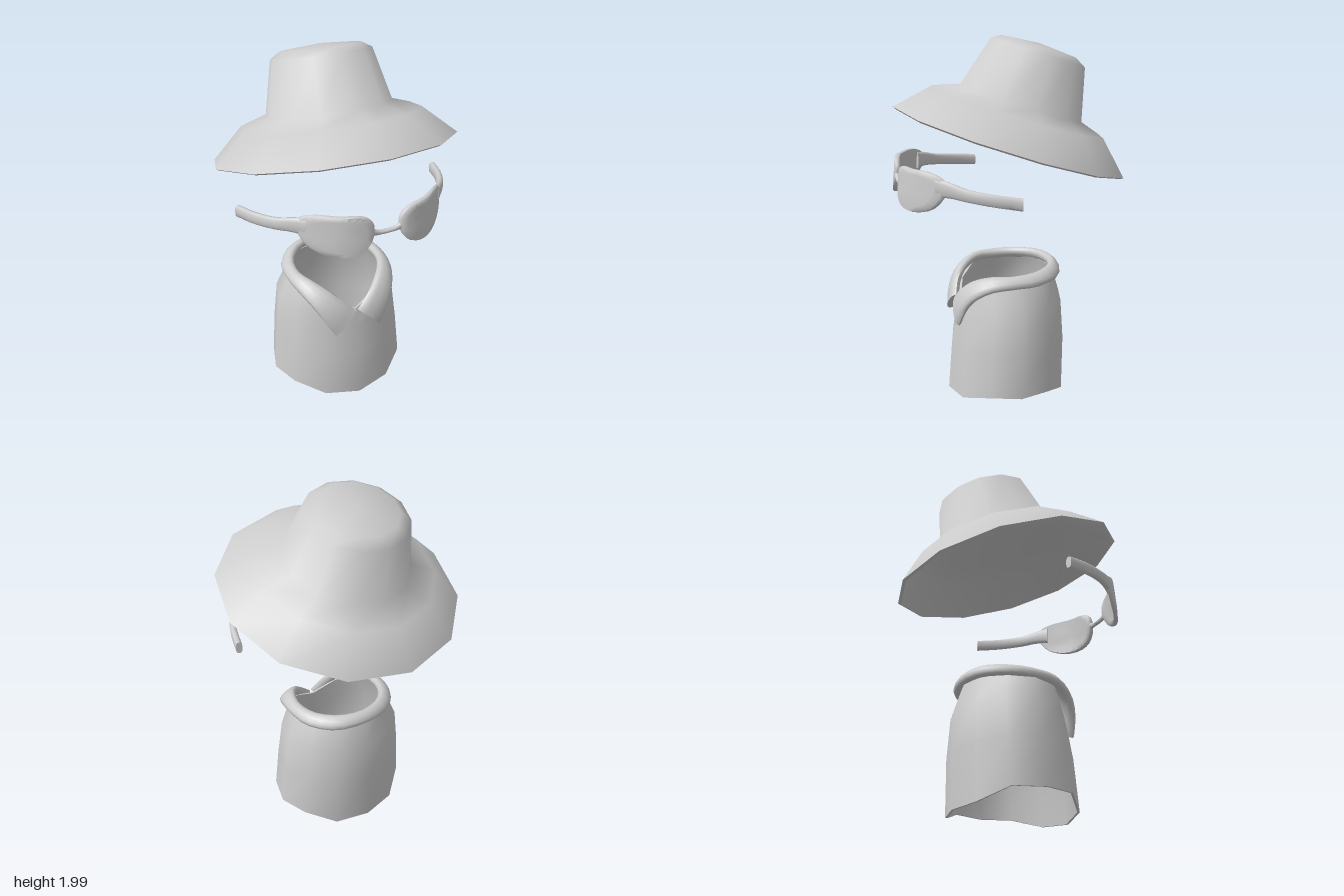
import * as THREE from 'three';
import { toCreasedNormals } from 'three/addons/utils/BufferGeometryUtils.js';

const V = (x, y, z) => new THREE.Vector3(x, y, z);
const material = new THREE.MeshStandardMaterial({ color: 0xcccccc, side: THREE.DoubleSide });

// Skin a list of equal-length rings; every ring runs counter-clockwise seen from the next one
function loft(name, rings, closed = false) {
  const pos = [];
  const n = rings[0].length;
  const tri = (a, b, c) => {
    const area = b.clone().sub(a).cross(c.clone().sub(a)).length();
    if (area > 1e-8) for (const p of [a, b, c]) pos.push(p.x, p.y, p.z);
  };
  const last = closed ? rings.length : rings.length - 1;
  for (let i = 0; i < last; i++) {
    const r = rings[i], s = rings[(i + 1) % rings.length];
    for (let j = 0; j < n; j++) {
      const k = (j + 1) % n;
      tri(r[j], r[k], s[k]);
      tri(r[j], s[k], s[j]);
    }
  }
  const geometry = new THREE.BufferGeometry();
  geometry.setAttribute('position', new THREE.Float32BufferAttribute(pos, 3));
  const mesh = new THREE.Mesh(toCreasedNormals(geometry, 1.1), material);
  mesh.name = name;
  return mesh;
}

const mirror = rings => rings.map(r => r.map(p => V(-p.x, p.y, p.z)).reverse());

// Horizontal oval ring whose height is a function of angle (0 = front) and z
function oval(rx, rz, cz, height, sides = 12) {
  return Array.from({ length: sides }, (_, j) => {
    const t = (j / sides) * Math.PI * 2;
    const z = cz + rz * Math.cos(t);
    return V(rx * Math.sin(t), height(t, z), z);
  });
}

// Capped sweep of a rounded section spanning an upper and a lower rail
function sweep(upper, lower, half, steps, power, sides = 12) {
  const A = new THREE.CatmullRomCurve3(upper), B = new THREE.CatmullRomCurve3(lower);
  const mid = t => A.getPoint(t).add(B.getPoint(t)).multiplyScalar(0.5);
  const round = x => Math.sign(x) * Math.abs(x) ** power;
  const rings = [];
  for (let i = 0; i <= steps; i++) {
    const t = i / steps;
    const m = mid(t);
    const v = A.getPoint(t).sub(m);
    const d = mid(Math.min(1, t + 0.01)).sub(mid(Math.max(0, t - 0.01)));
    const u = v.clone().cross(d).normalize().multiplyScalar(half);
    rings.push(Array.from({ length: sides }, (_, j) => {
      const a = (j / sides) * Math.PI * 2;
      return m.clone().addScaledVector(u, round(Math.cos(a))).addScaledVector(v, round(Math.sin(a)));
    }));
  }
  const cap = t => Array.from({ length: sides }, () => mid(t));
  return [cap(0), ...rings, cap(1)];
}

// Tilted bucket hat, twelve sides, with a shallow lining under the brim
function makeHat() {
  // rx, rz, centre z, centre y, slope
  const profile = [
    [0, 0, -0.065, 1.615, 0],
    [0.325, 0.325, -0.065, 1.612, 0.32],
    [0.46, 0.455, -0.045, 1.565, 0.31],
    [0.635, 0.607, 0, 1.43, 0.322],
    [0.655, 0.625, 0, 1.44, 0.322],
    [0.48, 0.475, -0.045, 1.593, 0.31],
    [0.335, 0.335, -0.065, 1.638, 0.32],
    [0.27, 0.257, -0.157, 1.903, 0.32],
    [0.215, 0.203, -0.162, 1.937, 0.31],
    [0, 0, -0.165, 1.955, 0],
  ];
  return loft('hat', profile.map(([rx, rz, cz, cy, slope]) =>
    oval(rx, rz, cz, (t, z) => cy + slope * (z - cz))));
}

// Wraparound glasses
function makeGlasses() {
  const group = new THREE.Group();
  group.name = 'glasses';

  // Lens outline, counter-clockwise from the front
  const outline = new THREE.CatmullRomCurve3([
    [0.19, 1.142], [0.28, 1.14], [0.36, 1.175], [0.4, 1.25], [0.393, 1.32], [0.335, 1.353],
    [0.23, 1.356], [0.13, 1.352], [0.075, 1.31], [0.073, 1.24], [0.115, 1.175],
  ].map(([x, y]) => V(x, y, 0)), true).getPoints(28).slice(0, -1);
  const lensRing = (scale, depth) => outline.map(p => {
    const x = 0.235 + (p.x - 0.235) * scale;
    const y = 1.25 + (p.y - 1.25) * scale;
    return V(x, y, 0.628 - 2 * (x - 0.1) ** 2 - 0.1 * Math.max(0, y - 1.2) - depth);
  });
  const lens = [
    ...[0, 0.4, 0.75, 0.97].map(s => lensRing(s, 0.028)),
    lensRing(1, 0.02), lensRing(1, 0.008),
    ...[0.97, 0.75, 0.4, 0].map(s => lensRing(s, 0)),
  ];

  // Temple arm running back and outward
  const arm = sweep(
    [V(0.36, 1.33, 0.462), V(0.41, 1.315, 0.405), V(0.47, 1.29, 0.33), V(0.535, 1.272, 0.21), V(0.578, 1.255, 0.075)],
    [V(0.36, 1.23, 0.462), V(0.41, 1.235, 0.405), V(0.47, 1.225, 0.33), V(0.535, 1.208, 0.21), V(0.578, 1.19, 0.075)],
    0.018, 10, 0.7);

  group.add(
    loft('leftLens', lens), loft('rightLens', mirror(lens)),
    loft('leftArm', arm), loft('rightArm', mirror(arm)),
    loft('bridge', sweep(
      [V(-0.1, 1.3, 0.607), V(-0.05, 1.262, 0.607), V(0.05, 1.262, 0.607), V(0.1, 1.3, 0.607)],
      [V(-0.1, 1.24, 0.607), V(-0.05, 1.236, 0.607), V(0.05, 1.236, 0.607), V(0.1, 1.24, 0.607)],
      0.013, 10, 0.8)));
  return group;
}

// Open tube of a shirt with a hem dipping front and back and a scooped neckline
function makeShirt() {
  const dip = t => Math.max(0, Math.cos(t)) ** 4;
  const hem = t => {
    const k = Math.max(0, Math.abs(Math.cos(t)) * 2 - 1);
    return 0.081 - (Math.cos(t) > 0 ? 0.073 * k : 0.063 * Math.min(1, k * 1.3));
  };
  const outer = [
    [0.393, 0.331, 0.028, hem],
    [0.373, 0.323, 0.014, t => 0.33 - 0.05 * dip(t)],
    [0.348, 0.3, 0.006, t => 0.55 - 0.11 * dip(t)],
    [0.28, 0.27, 0.02, t => 0.7 - 0.14 * dip(t)],
  ];
  const rings = inset => outer.map(([rx, rz, cz, h]) => oval(rx - inset, rz - inset, cz, h));
  return loft('shirtBody', [...rings(0), ...rings(0.012).reverse()], true);
}

// Rolled collar with two pointed flaps, from the left tip round the back to the right tip
function makeCollar() {
  const upper = [V(0.005, 0.565, 0.307), V(0.07, 0.627, 0.285), V(0.14, 0.69, 0.235), V(0.205, 0.727, 0.155),
    V(0.238, 0.73, 0.05), V(0.218, 0.738, -0.08), V(0.135, 0.75, -0.185), V(0, 0.752, -0.227)];
  const lower = [V(0.138, 0.438, 0.322), V(0.19, 0.525, 0.305), V(0.24, 0.61, 0.262), V(0.283, 0.668, 0.17),
    V(0.3, 0.685, 0.05), V(0.282, 0.685, -0.1), V(0.175, 0.69, -0.232), V(0, 0.695, -0.273)];
  const both = rail => [...rail, ...rail.slice(0, -1).reverse().map(p => V(-p.x, p.y, p.z))];
  return loft('collar', sweep(both(upper), both(lower), 0.027, 36, 0.9));
}

export function createModel() {
  const model = new THREE.Group();
  model.name = 'outfit';
  const shirt = new THREE.Group();
  shirt.name = 'shirt';
  shirt.add(makeShirt(), makeCollar());
  model.add(makeHat(), makeGlasses(), shirt);
  return model;
}
